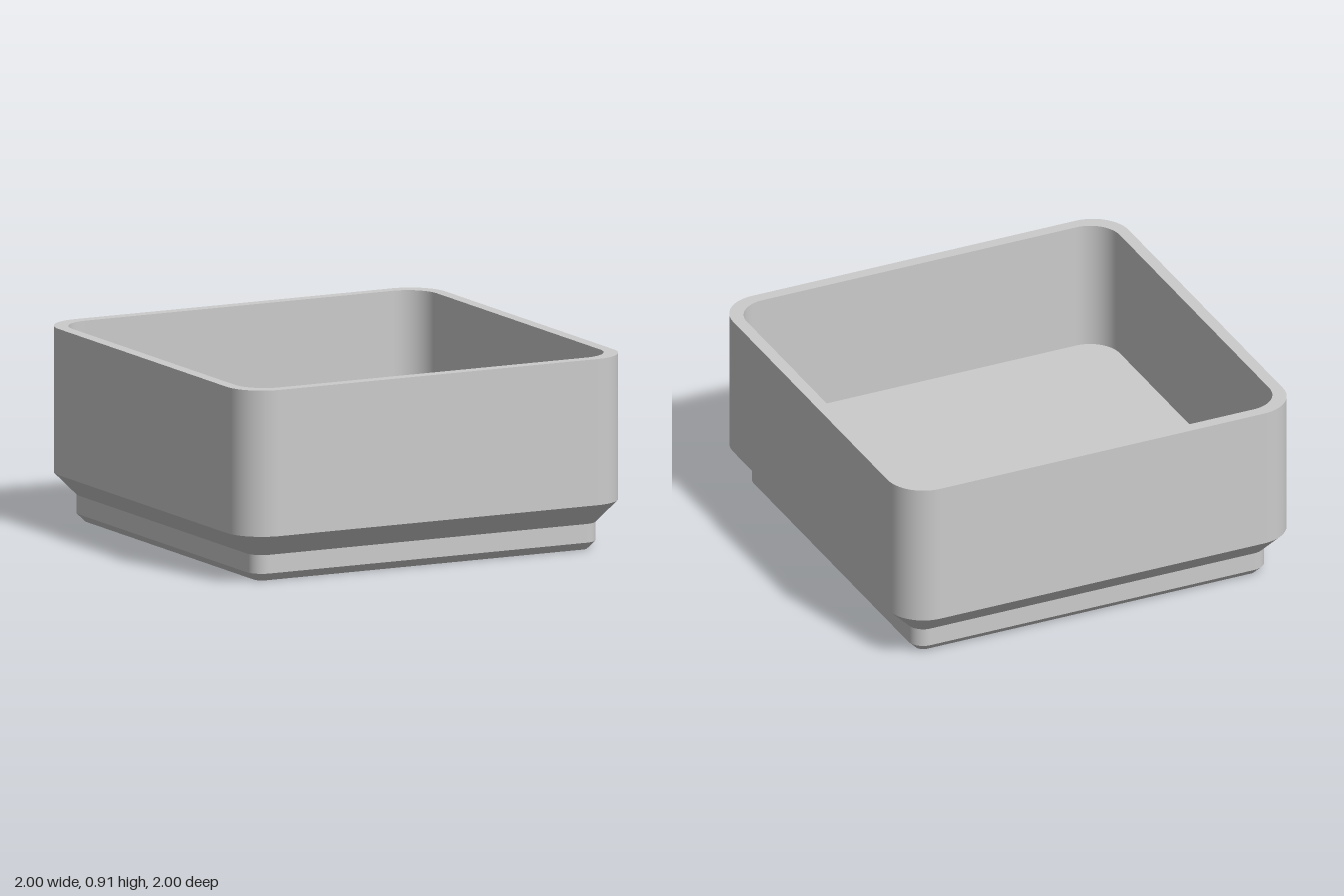
import * as THREE from 'three';

const CORNER_STEPS = 16;

// Points and outward angles of a rounded square: half width, corner radius, height
function ring([half, radius, y]) {
  const points = [];
  for (let corner = 0; corner < 4; corner++) {
    const middle = (corner + 0.5) * Math.PI / 2;
    const cx = Math.sign(Math.cos(middle)) * (half - radius);
    const cz = Math.sign(Math.sin(middle)) * (half - radius);
    for (let i = 0; i <= CORNER_STEPS; i++) {
      const angle = (corner + i / CORNER_STEPS) * Math.PI / 2;
      points.push({ x: cx + radius * Math.cos(angle), y, z: cz + radius * Math.sin(angle), angle });
    }
  }
  return points;
}

// Surface between two rounded squares, smooth around the corners and sharp at its edges
function band(from, to) {
  const positions = [], normals = [], index = [];
  const rise = to[2] - from[2], spread = to[0] - from[0];
  const length = Math.hypot(rise, spread);
  const rings = [ring(from), ring(to)];
  const n = rings[0].length;
  for (const points of rings) {
    for (const p of points) {
      positions.push(p.x, p.y, p.z);
      normals.push(Math.cos(p.angle) * rise / length, -spread / length, Math.sin(p.angle) * rise / length);
    }
  }
  for (let i = 0; i < n; i++) {
    const j = (i + 1) % n;
    index.push(i, n + i, j, j, n + i, n + j);
  }
  const geometry = new THREE.BufferGeometry();
  geometry.setAttribute('position', new THREE.Float32BufferAttribute(positions, 3));
  geometry.setAttribute('normal', new THREE.Float32BufferAttribute(normals, 3));
  geometry.setIndex(index);
  return geometry;
}

export function createModel() {
  const model = new THREE.Group();
  model.name = 'storageBin';
  const grey = new THREE.MeshStandardMaterial({ color: 0xcccccc });
  grey.name = 'light grey';

  // Profile from the underside centre, up the outside, over the rim and down to the inner floor
  const profile = [
    [0, 0, 0],
    [0.858, 0.039, 0],
    [0.896, 0.077, 0.038],
    [0.896, 0.077, 0.125],
    [1, 0.181, 0.229],
    [1, 0.181, 0.908],
    [0.943, 0.15, 0.908],
    [0.943, 0.15, 0.29],
    [0, 0, 0.29],
  ];
  const names = ['underside', 'footChamfer', 'footWall', 'lowerChamfer',
    'outerWall', 'rim', 'innerWall', 'floor'];

  names.forEach((name, i) => {
    const mesh = new THREE.Mesh(band(profile[i], profile[i + 1]), grey);
    mesh.name = name;
    model.add(mesh);
  });
  return model;
}
